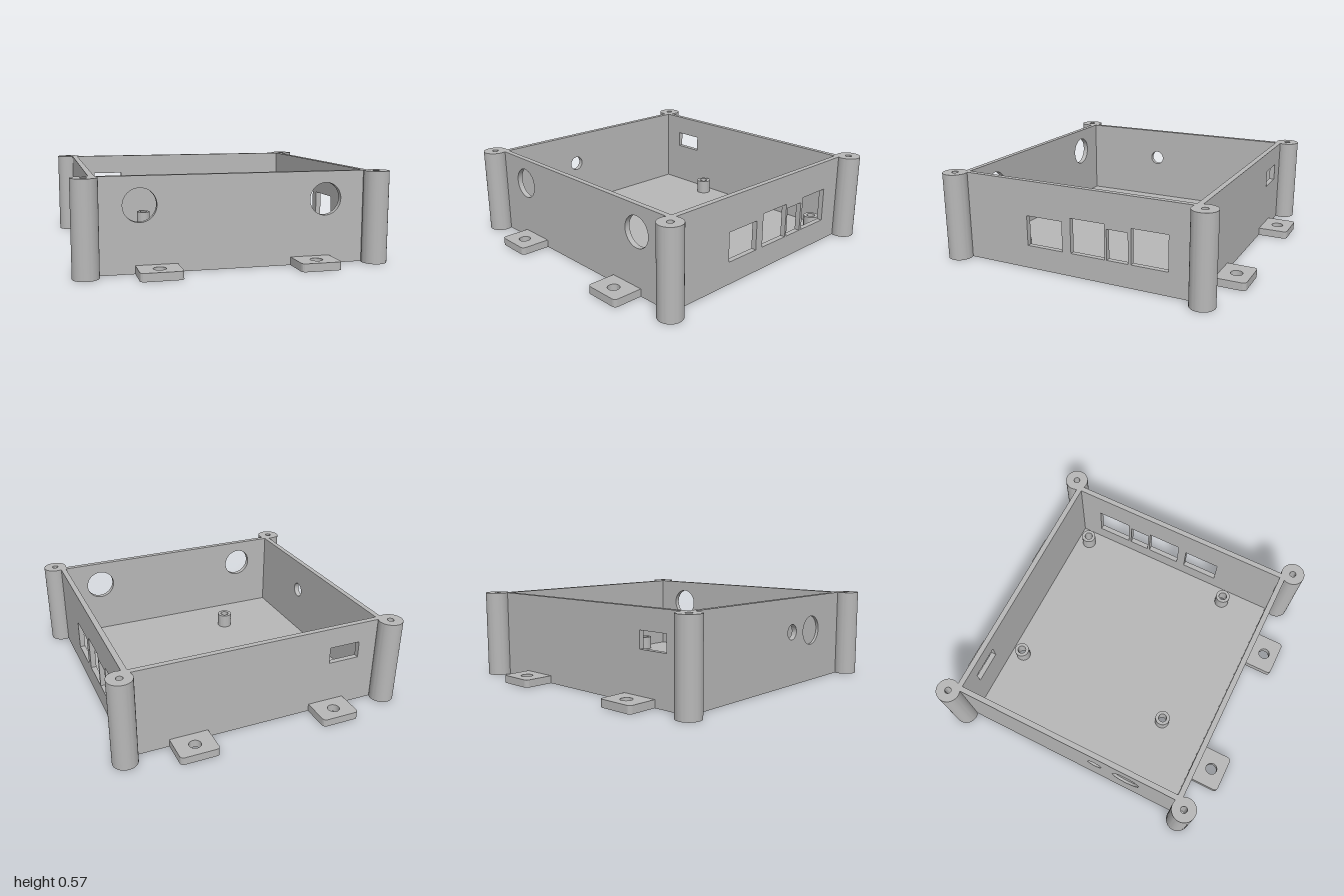
import * as THREE from 'three';
import { toCreasedNormals } from 'three/addons/utils/BufferGeometryUtils.js';

const H = 0.57, T = 0.035;          // wall height and thickness
const X = 0.855, Z = 0.805;         // outer half sizes of the box
const FLOOR = 0.035;

// closed outlines
function rect(x0, y0, x1, y1, Kind = THREE.Path) {
  return new Kind([[x0, y0], [x1, y0], [x1, y1], [x0, y1]].map(p => new THREE.Vector2(...p)));
}
function circle(x, y, r, Kind = THREE.Path) {
  const c = new Kind();
  c.absarc(x, y, r, 0, Math.PI * 2, false);
  return c;
}
function hexagon(x, y, r) {
  const pts = [];
  for (let i = 0; i < 6; i++) {
    const a = i * Math.PI / 3;
    pts.push(new THREE.Vector2(x + r * Math.cos(a), y + r * Math.sin(a)));
  }
  return new THREE.Path(pts);
}
function plate(shape, holes, depth) {
  shape.holes.push(...holes);
  const g = new THREE.ExtrudeGeometry(shape, { depth, bevelEnabled: false, curveSegments: 24 });
  return toCreasedNormals(g, 0.6);
}

export function createModel() {
  const model = new THREE.Group();
  model.name = 'enclosure';
  const grey = new THREE.MeshStandardMaterial({ color: 0xb8b8b8 });
  grey.name = 'grey plastic';

  function add(name, geometry, x = 0, y = 0, z = 0, parent = model) {
    const m = new THREE.Mesh(geometry, grey);
    m.name = name;
    m.position.set(x, y, z);
    parent.add(m);
    return m;
  }

  // front wall with two round openings, back wall with a small slot
  add('frontWall', plate(rect(-X, 0, X, H, THREE.Shape),
    [-0.57, 0.57].map(x => circle(x, 0.4, 0.1)), T), 0, 0, Z - T);
  add('backWall', plate(rect(-X, 0, X, H, THREE.Shape),
    [rect(-0.69, 0.325, -0.48, 0.435)], T), 0, 0, -Z);

  // side walls: outline runs along z
  const side = holes => plate(rect(-(Z - T), 0, Z - T, H, THREE.Shape), holes, T).rotateY(-Math.PI / 2);
  add('portWall', side([
    rect(0.08, 0.15, 0.33, 0.345),
    rect(-0.21, 0.15, 0.02, 0.375),
    rect(-0.365, 0.15, -0.225, 0.345),
    rect(-0.62, 0.15, -0.385, 0.375),
  ]), X);
  add('plainWall', side([circle(0.2, 0.35, 0.05), circle(0.425, 0.34, 0.095)]), -X + T);

  // bottom of the blind round recess
  const recess = new THREE.CylinderGeometry(0.095, 0.095, T / 2, 48).rotateZ(Math.PI / 2);
  add('recessBottom', recess, -X + T * 0.75, 0.34, 0.425);

  // floor with hexagonal nut pockets under the standoffs
  const spots = [-0.32, 0.725].flatMap(x => [-0.685, 0.45].map(z => [x, z]));
  add('floor', plate(rect(-X + T, -Z + T, X - T, Z - T, THREE.Shape),
    spots.map(([x, z]) => hexagon(x, -z, 0.045)), FLOOR).rotateX(-Math.PI / 2));
  const standoff = plate(circle(0, 0, 0.05, THREE.Shape), [circle(0, 0, 0.028)], 0.095).rotateX(-Math.PI / 2);
  for (const [x, z] of spots) add('standoff', standoff, x, FLOOR, z);

  // corner posts with blind screw holes
  const profile = [[0, 0], [0.078, 0], [0.078, H], [0.021, H], [0.021, H - 0.25], [0, H - 0.25]];
  const post = toCreasedNormals(
    new THREE.LatheGeometry(profile.map(p => new THREE.Vector2(...p)), 48), 0.6);
  for (const x of [-0.885, 0.885]) {
    for (const z of [-0.84, 0.84]) add('cornerPost', post, x, 0, z);
  }

  // mounting tabs, rounded at the outer corners
  const w = 0.125, r = 0.025, inner = -(Z - 0.02), outer = -1;
  const outline = new THREE.Shape();
  outline.moveTo(-w, inner);
  outline.lineTo(-w, outer + r);
  outline.absarc(-w + r, outer + r, r, Math.PI, Math.PI * 1.5, false);
  outline.absarc(w - r, outer + r, r, Math.PI * 1.5, Math.PI * 2, false);
  outline.lineTo(w, inner);
  const tab = plate(outline, [circle(0, -0.905, 0.038)], 0.05).rotateX(-Math.PI / 2);
  for (const [name, turn] of [['frontTabs', 0], ['backTabs', Math.PI]]) {
    const pair = new THREE.Group();
    pair.name = name;
    pair.rotation.y = turn;
    for (const x of [-0.475, 0.475]) add('mountingTab', tab, x, 0, 0, pair);
    model.add(pair);
  }
  return model;
}
